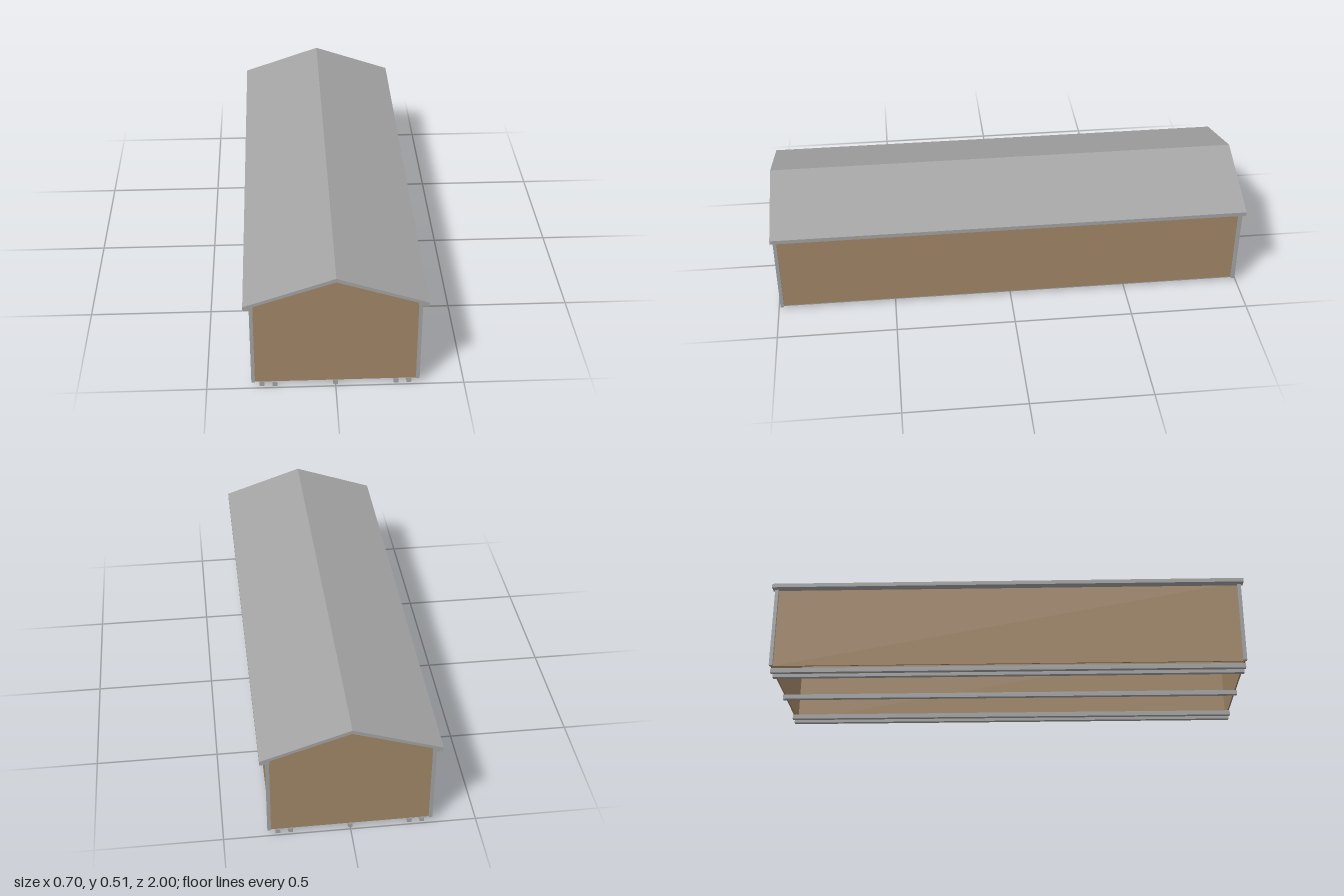
import * as THREE from 'three';

const grey = new THREE.MeshStandardMaterial({ color: 0xa4a4a4, side: THREE.DoubleSide });
grey.name = 'grey trim';
const tan = new THREE.MeshStandardMaterial({ color: 0xa28768, side: THREE.DoubleSide });
tan.name = 'tan siding';

// Extrudes an x-y outline between two z positions
function extrude(name, points, z0, z1, material) {
  const shape = new THREE.Shape(points.map(([x, y]) => new THREE.Vector2(x, y)));
  const geometry = new THREE.ExtrudeGeometry(shape, { depth: z1 - z0, bevelEnabled: false });
  geometry.translate(0, 0, z0);
  const mesh = new THREE.Mesh(geometry, material);
  mesh.name = name;
  return mesh;
}

function box(name, w, h, d, x, y, z) {
  const mesh = new THREE.Mesh(new THREE.BoxGeometry(w, h, d), grey);
  mesh.name = name;
  mesh.position.set(x, y, z);
  return mesh;
}

// Mirrors a half outline, running from the right edge to the ridge, to the other side
const mirrored = (half) => [...half, ...half.slice(0, -1).reverse().map(([x, y]) => [-x, y])];

export function createModel() {
  const group = new THREE.Group();
  group.name = 'shed';

  // Gabled roof with dropped eaves
  const roofTop = mirrored([[0.35, 0.372], [0.35, 0.389], [0, 0.508]]);
  const roofUnder = mirrored([[0.312, 0.372], [0.312, 0.389], [0, 0.492]]).reverse();
  group.add(extrude('roof', [...roofTop, ...roofUnder], -1, 1, grey));

  // Side walls and ceiling as one thin shell, open below
  const outer = mirrored([[0.315, 0.02], [0.315, 0.386], [0, 0.49]]);
  const inner = mirrored([[0.309, 0.02], [0.309, 0.382], [0, 0.485]]).reverse();
  group.add(extrude('wallsAndCeiling', [...outer, ...inner], -0.98, 0.98, tan));

  // End walls
  const gable = mirrored([[0.313, 0.02], [0.313, 0.386], [0, 0.491]]);
  group.add(extrude('frontWall', gable, 0.98, 0.986, tan));
  group.add(extrude('backWall', gable, -0.986, -0.98, tan));

  // Corner trim
  for (const sx of [-1, 1]) {
    for (const sz of [-1, 1]) {
      group.add(box('cornerTrim', 0.014, 0.354, 0.015, sx * 0.32, 0.197, sz * 0.9835));
    }
  }

  // Floor skids
  for (const x of [-0.286, -0.236, 0, 0.236, 0.286]) {
    group.add(box('skid', 0.018, 0.02, 1.98, x, 0.01, 0));
  }
  return group;
}
